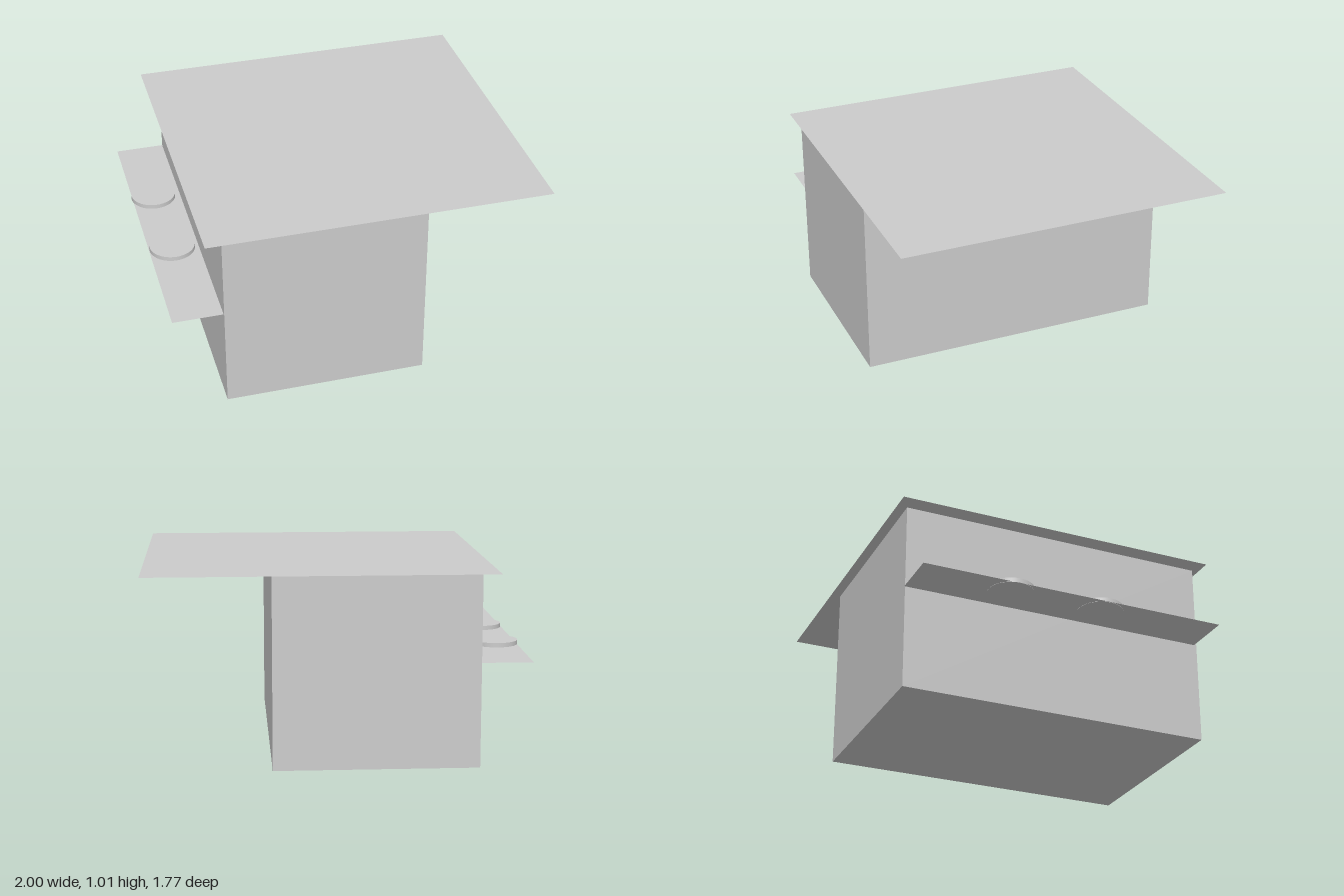
import * as THREE from 'three';

export function createModel() {
  const model = new THREE.Group();
  const solid = new THREE.MeshStandardMaterial({ color: 0xcccccc });
  const sheet = new THREE.MeshStandardMaterial({ color: 0xcccccc, side: THREE.DoubleSide });

  const add = (name, geometry, material, x, y, z) => {
    const mesh = new THREE.Mesh(geometry, material);
    mesh.name = name;
    mesh.position.set(x, y, z);
    model.add(mesh);
  };

  // Paper-thin horizontal panel
  const panel = (width, depth) => new THREE.PlaneGeometry(width, depth).rotateX(-Math.PI / 2);

  // Closed stall body
  add('body', new THREE.BoxGeometry(1.07, 1.012, 1.68), solid, -0.195, 0.506, 0.004);

  // Flat roof, overhanging far to the left side
  add('roof', panel(1.82, 1.77), sheet, 0.09, 1.014, -0.003);

  // Serving counter along the right side
  add('counter', panel(0.265, 1.67), sheet, -0.8625, 0.552, -0.005);

  // Round plates resting on the counter
  for (const [x, z] of [[-0.878, -0.32], [-0.87, 0.19]]) {
    add('plate', new THREE.CylinderGeometry(0.122, 0.122, 0.025, 48), solid, x, 0.563, z);
  }

  return model;
}
